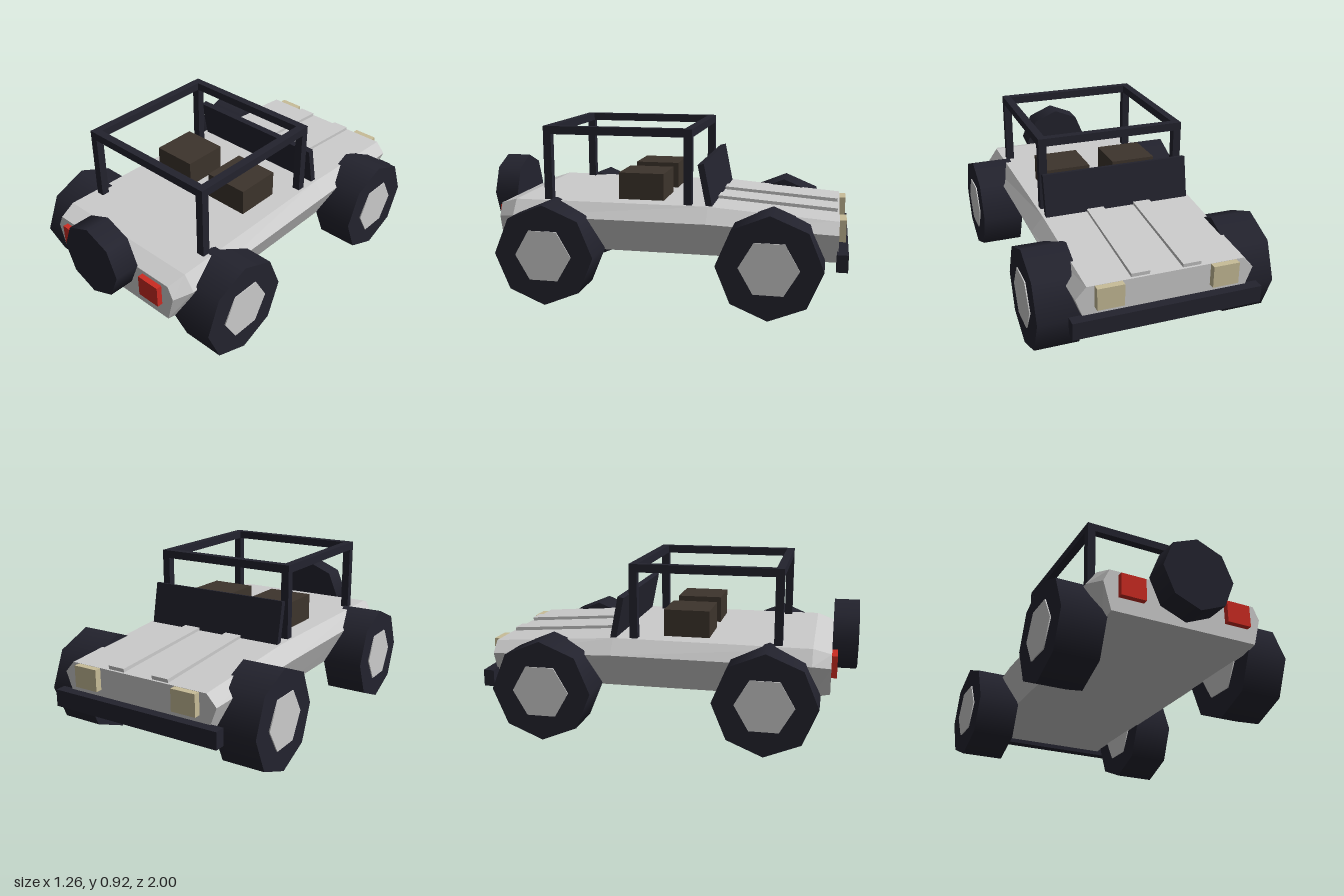
import * as THREE from 'three';

const mat = (name, color) => {
  const m = new THREE.MeshStandardMaterial({ color });
  m.name = name;
  return m;
};

export function createModel() {
  const car = new THREE.Group();
  car.name = 'offRoadCar';
  const paint = mat('lightGreyPaint', 0xcccccc);
  const dark = mat('darkRubber', 0x23232e);
  const red = mat('tailRed', 0xcc2b22);
  const cream = mat('lampCream', 0xc8bd98);
  const brown = mat('seatBrown', 0x3d342c);

  const add = (name, geometry, material, parent = car) => {
    const mesh = new THREE.Mesh(geometry, material);
    mesh.name = name;
    parent.add(mesh);
    return mesh;
  };
  // box given by its extents on each axis
  const box = (name, material, [x0, x1], [y0, y1], [z0, z1], parent = car) => {
    const m = add(name, new THREE.BoxGeometry(x1 - x0, y1 - y0, z1 - z0), material, parent);
    m.position.set((x0 + x1) / 2, (y0 + y1) / 2, (z0 + z1) / 2);
    return m;
  };

  // Body: six-sided cross-sections lofted along z
  // z, top x, top y, widest x, widest y, bottom x, bottom y
  const sections = [
    [0.865, 0.407, 0.495, 0.44, 0.427, 0.4, 0.28],
    [0.77, 0.43, 0.525, 0.487, 0.445, 0.4, 0.26],
    [-0.28, 0.42, 0.525, 0.485, 0.445, 0.4, 0.26],
    [-0.95, 0.405, 0.475, 0.46, 0.415, 0.4, 0.26],
  ];
  const verts = [], index = [];
  sections.forEach(([z, tx, ty, mx, my, bx, by], i) => {
    verts.push(tx, ty, z, -tx, ty, z, -mx, my, z, -bx, by, z, bx, by, z, mx, my, z);
    if (i === sections.length - 1) return;
    for (let j = 0; j < 6; j++) {
      const a = i * 6 + j, b = i * 6 + (j + 1) % 6;
      index.push(a, b + 6, b, a, a + 6, b + 6);
    }
  });
  const last = (sections.length - 1) * 6;
  for (let j = 1; j < 5; j++) {
    index.push(0, j, j + 1);
    index.push(last, last + j + 1, last + j);
  }
  const indexed = new THREE.BufferGeometry();
  indexed.setAttribute('position', new THREE.Float32BufferAttribute(verts, 3));
  indexed.setIndex(index);
  const bodyGeo = indexed.toNonIndexed();
  bodyGeo.computeVertexNormals();
  add('body', bodyGeo, paint);

  // Wheels: octagonal tyre with a hexagonal hub passing through
  const tyreGeo = new THREE.CylinderGeometry(0.268, 0.268, 0.231, 8).rotateZ(Math.PI / 2);
  const hubGeo = new THREE.CylinderGeometry(0.152, 0.152, 0.243, 6).rotateZ(Math.PI / 2);
  for (const [end, z] of [['rear', 0.55], ['front', -0.618]]) {
    for (const s of [1, -1]) {
      const wheel = new THREE.Group();
      wheel.name = end + (s > 0 ? 'LeftWheel' : 'RightWheel');
      wheel.position.set(s * 0.511, 0.27, z);
      add('tyre', tyreGeo, dark, wheel);
      add('hub', hubGeo, paint, wheel);
      car.add(wheel);
    }
  }

  // Spare wheel
  const spare = add('spareWheel', new THREE.CylinderGeometry(0.196, 0.196, 0.135, 8).rotateX(Math.PI / 2), dark);
  spare.position.set(0, 0.506, 0.9325);

  // Roll cage
  const cage = new THREE.Group();
  cage.name = 'rollCage';
  car.add(cage);
  const X = 0.406, T = 0.043, Z0 = -0.193, Z1 = 0.615, Y = 0.922;
  for (const [x0, x1] of [[-X, -X + T], [X - T, X]]) {
    box('cageSideRail', dark, [x0, x1], [Y - T, Y], [Z0, Z1], cage);
    for (const z of [Z0, Z1 - T]) box('cagePost', dark, [x0, x1], [0.5, Y - T], [z, z + T], cage);
  }
  for (const z of [Z0, Z1 - T]) box('cageCrossBar', dark, [-X + T, X - T], [Y - T, Y], [z, z + T], cage);

  // Tilted windscreen panel
  const screen = add('windscreen', new THREE.BoxGeometry(0.81, 0.23, 0.033), dark);
  screen.position.set(0, 0.63, -0.262);
  screen.rotation.x = 0.2;

  // Bumper
  box('bumper', dark, [-0.49, 0.49], [0.235, 0.325], [-1, -0.942]);

  // Mirrored seats, lamps and hood strips
  for (const s of [1, -1]) {
    const span = (a, b) => (s > 0 ? [a, b] : [-b, -a]);
    const side = s > 0 ? 'left' : 'right';
    box(side + 'Seat', brown, span(0.07, 0.32), [0.51, 0.67], [-0.025, 0.223]);
    box(side + 'TailLight', red, span(0.228, 0.362), [0.357, 0.474], [0.85, 0.895]);
    box(side + 'Headlight', cream, span(0.228, 0.365), [0.36, 0.474], [-0.985, -0.94]);
    const strip = add(side + 'HoodStrip', new THREE.BoxGeometry(0.095, 0.02, 0.64), paint);
    strip.position.set(s * 0.133, 0.507, -0.62);
    strip.rotation.x = -0.07;
  }
  return car;
}
